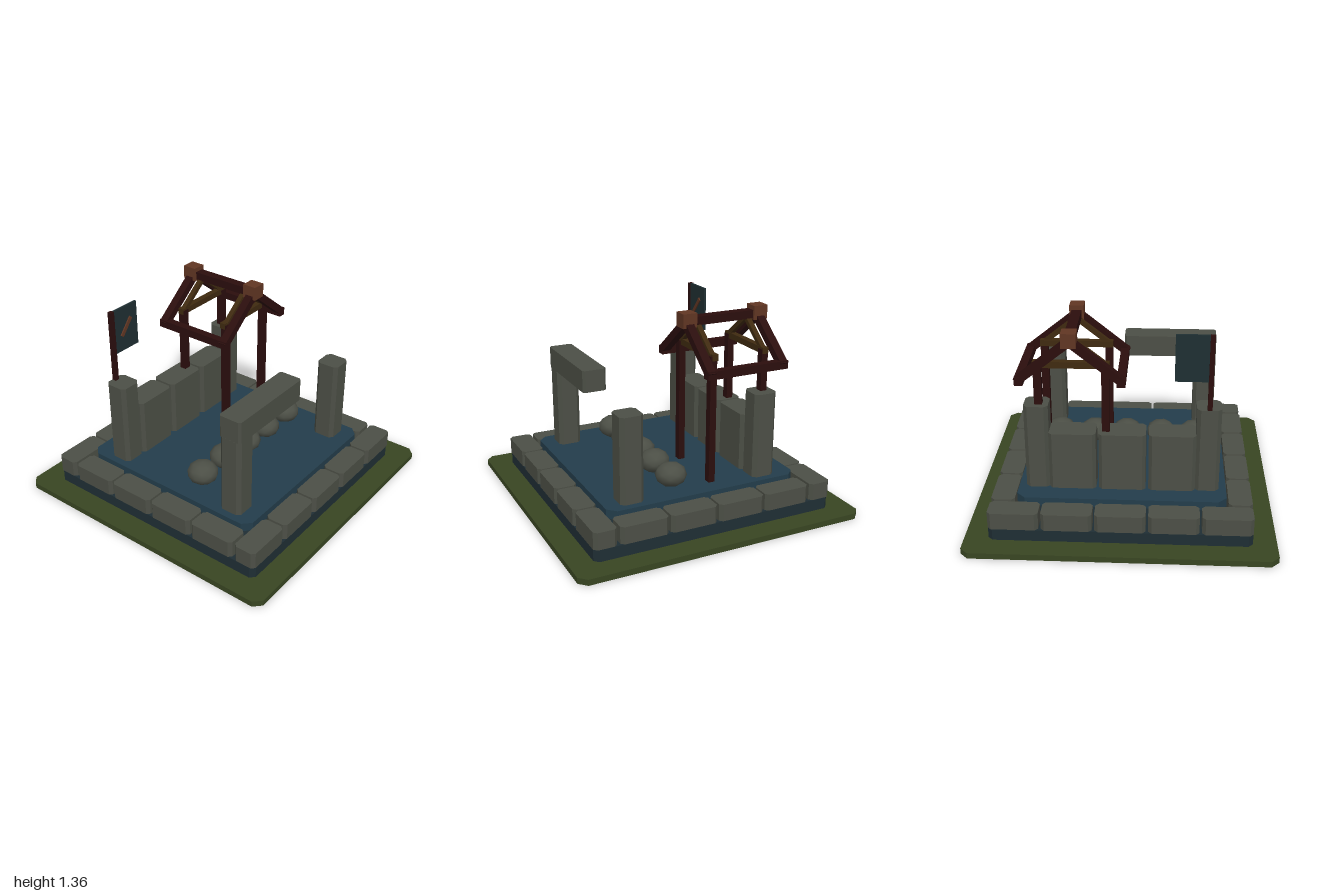
import * as THREE from 'three';

const mat = (name, color) => {
  const m = new THREE.MeshStandardMaterial({ color });
  m.name = name;
  return m;
};

export function createModel() {
  const root = new THREE.Group();
  root.name = 'shrineRuin';
  const grass = mat('mossGreen', 0x384522);
  const slate = mat('darkSlate', 0x1f2e34);
  const stone = mat('greyStone', 0x4c4f46);
  const water = mat('waterBlue', 0x233d4b);
  const wood = mat('darkWood', 0x2b0e0d);
  const copper = mat('copper', 0x613623);
  const ochre = mat('ochreWood', 0x3f2a10);
  const cloth = mat('bannerCloth', 0x1f2f32);

  const add = (name, geo, m, x, y, z, parent = root) => {
    const mesh = new THREE.Mesh(geo, m);
    mesh.name = name;
    mesh.position.set(x, y, z);
    parent.add(mesh);
    return mesh;
  };
  const group = (name) => {
    const g = new THREE.Group();
    g.name = name;
    root.add(g);
    return g;
  };
  // Upright block with chamfered vertical corners, standing on y0
  const block = (name, m, w, d, y0, y1, x, z, c, parent) => {
    const a = w / 2, b = d / 2;
    const s = new THREE.Shape([
      [a, -b + c], [a, b - c], [a - c, b], [-a + c, b],
      [-a, b - c], [-a, -b + c], [-a + c, -b], [a - c, -b],
    ].map(([px, py]) => new THREE.Vector2(px, py)));
    const g = new THREE.ExtrudeGeometry(s, { depth: y1 - y0, bevelEnabled: false });
    g.rotateX(-Math.PI / 2);
    return add(name, g, m, x, y0, z, parent);
  };
  const box = (name, m, w, h, d, x, y, z, parent) =>
    add(name, new THREE.BoxGeometry(w, h, d), m, x, y, z, parent);
  // Square bar between two points in a plane of constant z
  const bar = (name, m, x0, y0, x1, y1, z, t, d, parent) => {
    const b = box(name, m, Math.hypot(x1 - x0, y1 - y0), t, d, (x0 + x1) / 2, (y0 + y1) / 2, z, parent);
    b.rotation.z = Math.atan2(y1 - y0, x1 - x0);
    return b;
  };

  // Ground, foundation and pool
  block('ground', grass, 2, 2, 0, 0.04, 0, 0, 0.05);
  block('foundation', slate, 1.69, 1.69, 0.04, 0.12, 0, 0, 0.03);
  block('poolWater', water, 1.36, 1.36, 0.2, 0.26, 0, 0, 0.055);

  // Ring of edging stones
  const rim = group('stoneRim');
  for (const s of [-1, 1]) {
    for (let i = -2; i <= 2; i++)
      block('rimStone', stone, 0.325, 0.155, 0.12, 0.235, i * 0.341, s * 0.77, 0.022, rim);
    for (const z of [-0.51, -0.17, 0.17, 0.51])
      block('rimStone', stone, 0.155, 0.325, 0.12, 0.235, s * 0.77, z, 0.022, rim);
  }

  // Corner pillars and the broken lintel
  const pillars = group('pillars');
  const pillar = (x, z, top) => block('pillar', stone, 0.158, 0.16, 0.26, top, x, z, 0.025, pillars);
  pillar(-0.552, 0.495, 0.815);
  pillar(0.552, 0.495, 0.84);
  pillar(-0.552, -0.46, 0.84);
  pillar(0.552, -0.46, 0.84);
  block('lintel', stone, 0.66, 0.165, 0.815, 0.965, -0.3, 0.495, 0.015);

  // Back wall slabs
  const wall = group('backWall');
  for (const x of [-0.323, 0, 0.323])
    block('wallSlab', stone, 0.305, 0.18, 0.26, 0.655, x, -0.46, 0.022, wall);

  // Stepping boulders
  const rocks = group('boulders');
  [-0.48, -0.245, 0, 0.23, 0.48].forEach((x, i) => {
    const g = new THREE.IcosahedronGeometry(0.106, 1);
    g.rotateY(i * 0.7 + 0.2);
    g.scale(1, 0.76, 1);
    const m = add('boulder', g, stone, x, 0.337, 0.16, rocks);
    m.rotation.y = i * 0.3;
  });

  // Timber roof frame
  const frame = group('roofFrame');
  const cx = 0.322;
  for (const z of [-0.1, -0.475])
    for (const s of [-1, 1]) {
      const bottom = z === -0.475 && s === 1 ? 0.84 : 0.26;
      box('post', wood, 0.05, 1.12 - bottom, 0.045, cx + s * 0.215, (1.12 + bottom) / 2, z, frame);
      bar('innerBrace', ochre, cx + s * 0.215, 1.115, cx, 1.285, z, 0.03, 0.034, frame);
    }
  for (const z of [-0.108, -0.477])
    box('crossTie', ochre, 0.485, 0.042, 0.042, cx, 1.112, z, frame);
  for (const z of [-0.03, -0.555]) {
    for (const s of [-1, 1])
      bar('rafter', wood, cx + s * 0.335, 1.028, cx, 1.295, z, 0.052, 0.056, frame);
    box('ridgeCap', copper, 0.095, 0.095, 0.1, cx, 1.313, z, frame);
  }
  for (const s of [-1, 1])
    box('eaveBeam', wood, 0.054, 0.054, 0.585, cx + s * 0.319, 1.033, -0.293, frame);
  box('ridgeBeam', wood, 0.066, 0.056, 0.52, cx, 1.303, -0.293, frame);

  // Banner on the back left pillar
  const banner = group('banner');
  box('bannerPole', wood, 0.03, 0.5, 0.03, -0.553, 1.09, -0.523, banner);
  box('bannerCloth', cloth, 0.215, 0.31, 0.016, -0.435, 1.185, -0.52, banner);
  bar('bannerStripe', copper, -0.48, 1.14, -0.39, 1.25, -0.508, 0.026, 0.009, banner);

  return root;
}
